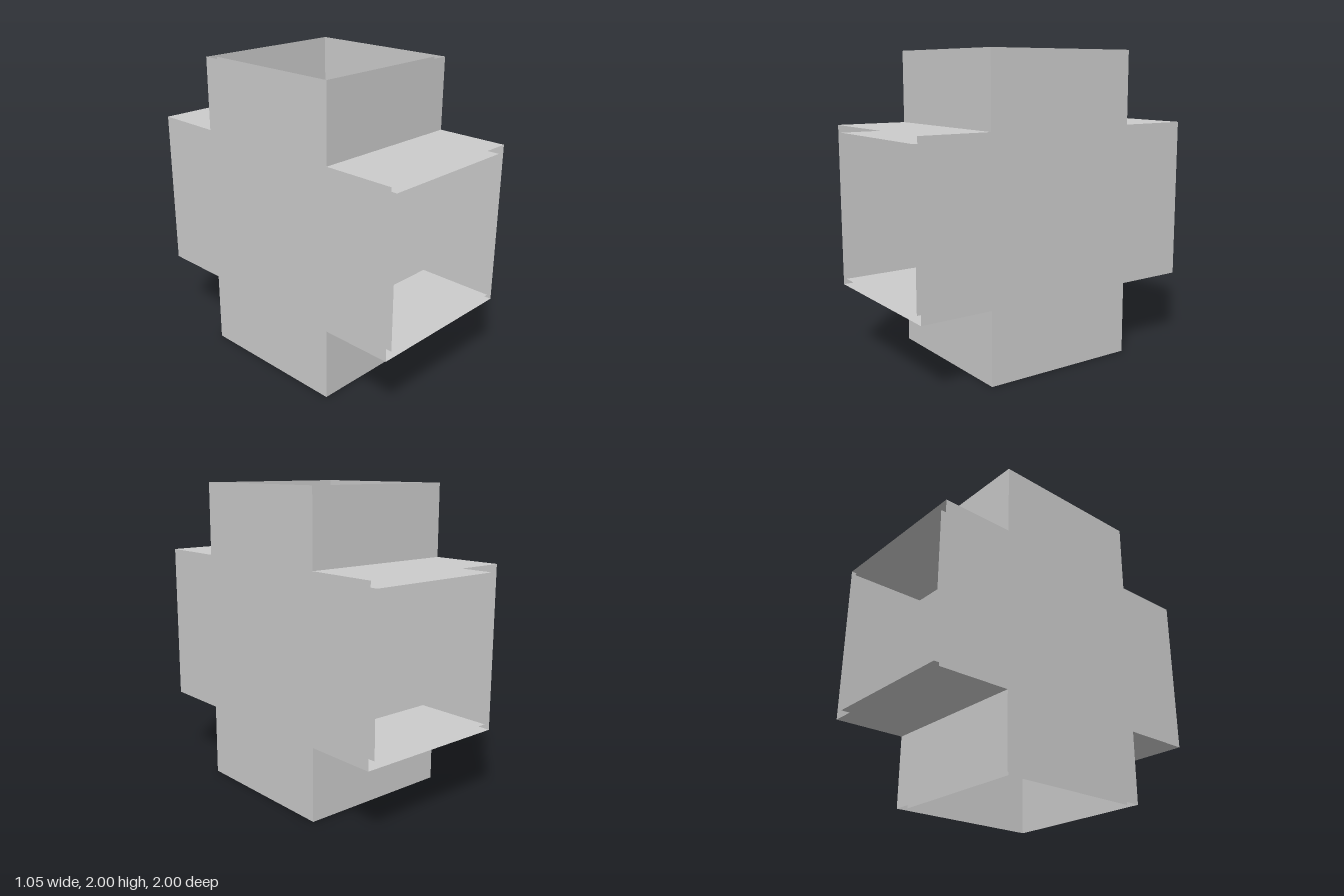
import * as THREE from 'three';

const material = new THREE.MeshStandardMaterial({ color: 0xcccccc, side: THREE.DoubleSide });

// One thin-walled cross duct of half-width w, open at its four arm ends.
function ductShell(name, w) {
  const shell = new THREE.Group();
  shell.name = name;

  // Flat cross-shaped side walls
  const cross = new THREE.Shape([
    [w, 1], [-w, 1], [-w, w], [-1, w], [-1, -w], [-w, -w],
    [-w, -1], [w, -1], [w, -w], [1, -w], [1, w], [w, w],
  ].map(([z, y]) => new THREE.Vector2(z, y)));
  for (const side of [1, -1]) {
    const wall = new THREE.Mesh(new THREE.ShapeGeometry(cross), material);
    wall.name = name + (side > 0 ? 'LeftWall' : 'RightWall');
    wall.rotation.y = side * Math.PI / 2;
    wall.position.x = side * w;
    shell.add(wall);
  }

  // Two walls per arm, turned in quarter steps around x
  const mid = (1 + w) / 2;
  ['top', 'front', 'bottom', 'back'].forEach((armName, i) => {
    const arm = new THREE.Group();
    arm.name = armName + 'Arm';
    arm.rotation.x = i * Math.PI / 2;
    for (const side of [1, -1]) {
      const panel = new THREE.Mesh(new THREE.PlaneGeometry(2 * w, 1 - w), material);
      panel.name = armName + 'ArmPanel';
      panel.position.set(0, mid, side * w);
      if (side < 0) panel.rotation.y = Math.PI;
      arm.add(panel);
    }
    shell.add(arm);
  });
  return shell;
}

export function createModel() {
  const model = new THREE.Group();
  model.name = 'crossDuct';
  // Outer skin and inner lining with an open gap between them
  model.add(ductShell('outerShell', 0.527), ductShell('innerLining', 0.48));
  model.position.y = 1;
  const root = new THREE.Group();
  root.name = 'ductJunction';
  root.add(model);
  return root;
}
